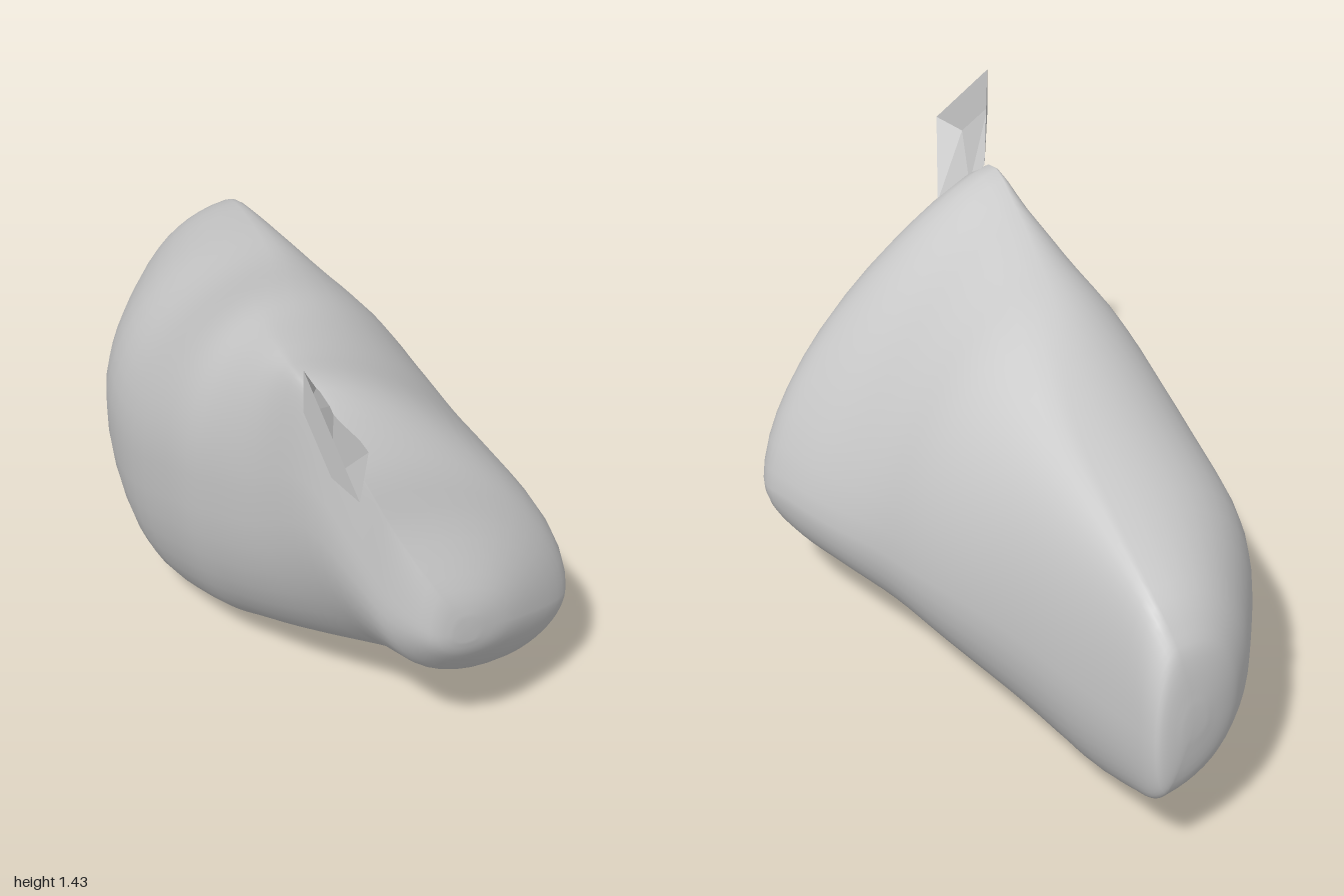
import * as THREE from 'three';

// Cross-sections of the sack from front to back:
// z, top x/y, +x side x/y, bottom x/y, -x side x/y, roundness of the upper +x quarter
const SECTIONS = [
  [0.90, -0.05, 0.59, 0.00, 0.55, -0.02, 0.51, -0.08, 0.55, 2],
  [0.88, -0.11, 0.68, 0.13, 0.50, 0.03, 0.44, -0.145, 0.57, 1.95],
  [0.80, -0.20, 0.865, 0.34, 0.42, 0.15, 0.305, -0.22, 0.64, 1.8],
  [0.73, -0.28, 1.07, 0.42, 0.40, 0.24, 0.24, -0.285, 0.78, 1.65],
  [0.60, -0.325, 1.23, 0.44, 0.42, 0.25, 0.20, -0.347, 0.92, 1.5],
  [0.40, -0.255, 1.20, 0.44, 0.43, 0.16, 0.16, -0.37, 0.82, 1.58],
  [0.20, -0.165, 1.155, 0.43, 0.45, 0.07, 0.11, -0.385, 0.74, 1.78],
  [0.00, -0.06, 1.11, 0.43, 0.46, 0.01, 0.05, -0.39, 0.67, 1.98],
  [-0.30, 0.14, 1.00, 0.42, 0.47, 0.02, 0.00, -0.35, 0.54, 2.1],
  [-0.60, 0.27, 0.92, 0.43, 0.47, 0.21, 0.07, -0.23, 0.51, 2.15],
  [-0.85, 0.36, 0.84, 0.445, 0.48, 0.36, 0.20, 0.00, 0.50, 2.15],
  [-0.95, 0.37, 0.75, 0.45, 0.48, 0.40, 0.265, 0.13, 0.50, 2.1],
  [-0.985, 0.365, 0.67, 0.435, 0.49, 0.39, 0.33, 0.21, 0.50, 2.1],
  [-1.00, 0.34, 0.55, 0.37, 0.50, 0.35, 0.46, 0.30, 0.50, 2],
];
const STEPS = 4; // rows between neighbouring sections
const QUARTER = 12; // points per quarter of a section

// Smoothly blended section at position t along the table
function sectionAt(t) {
  const last = SECTIONS.length - 1;
  const i = Math.min(Math.floor(t), last - 1);
  const f = t - i;
  const row = (n) => SECTIONS[Math.max(0, Math.min(last, n))];
  const [a, b, c, d] = [row(i - 1), row(i), row(i + 1), row(i + 2)];
  return b.map((v, k) => {
    const m0 = (c[k] - a[k]) / 2, m1 = (d[k] - v) / 2;
    const f2 = f * f, f3 = f2 * f;
    return v * (2 * f3 - 3 * f2 + 1) + m0 * (f3 - 2 * f2 + f)
      + c[k] * (3 * f2 - 2 * f3) + m1 * (f3 - f2);
  });
}

// Closed loop of four superellipse quarters: top, +x side, bottom, -x side
function sectionLoop([z, tx, ty, rx, ry, bx, by, lx, ly, k]) {
  const ends = [[tx, ty], [rx, ry], [bx, by], [lx, ly]];
  // the lower -x quarter flattens towards the front
  const lower = 2.35 - 0.35 * THREE.MathUtils.smoothstep(z, 0.2, 0.75);
  const roundness = [k, 2, lower, 2.15];
  const points = [];
  for (let q = 0; q < 4; q++) {
    const [x0, y0] = ends[q], [x1, y1] = ends[(q + 1) % 4];
    const power = 2 / roundness[q];
    for (let j = 0; j < QUARTER; j++) {
      const angle = (j / QUARTER) * Math.PI / 2;
      const s = Math.sin(angle) ** power, c = Math.cos(angle) ** power;
      // leaves horizontally at top and bottom, vertically at the sides
      if (q % 2 === 0) points.push([x0 + (x1 - x0) * s, y1 + (y0 - y1) * c, z]);
      else points.push([x1 + (x0 - x1) * c, y0 + (y1 - y0) * s, z]);
    }
  }
  return points;
}

function sackGeometry() {
  const rows = (SECTIONS.length - 1) * STEPS;
  const n = QUARTER * 4;
  const positions = [], index = [];
  for (let i = 0; i <= rows; i++) {
    for (const p of sectionLoop(sectionAt(i / STEPS))) positions.push(...p);
  }
  for (let i = 0; i < rows; i++) {
    for (let j = 0; j < n; j++) {
      const a = i * n + j, b = i * n + (j + 1) % n;
      index.push(a, b, a + n, b, b + n, a + n);
    }
  }
  // front and rear caps
  const front = positions.length / 3, rear = front + 1;
  positions.push(-0.04, 0.55, 0.9, 0.34, 0.505, -1);
  for (let j = 0; j < n; j++) {
    const next = (j + 1) % n;
    index.push(front, next, j, rear, rows * n + j, rows * n + next);
  }
  const geometry = new THREE.BufferGeometry();
  geometry.setAttribute('position', new THREE.Float32BufferAttribute(positions, 3));
  geometry.setIndex(index);
  geometry.computeVertexNormals();
  return geometry;
}

// Open flared tie: strips from the neck to a flat four-cornered flap
function tieGeometry() {
  const base = [[-0.31, 1.235, 0.6], [-0.27, 1.18, 0.62], [-0.24, 1.09, 0.73], [-0.28, 1.05, 0.73]];
  const flap = [[-0.455, 1.43, 0.76], [-0.455, 1.31, 0.76], [-0.455, 1.19, 0.88], [-0.455, 1.19, 1.0]];
  const positions = [];
  const quad = (a, b, c, d) => [a, b, c, a, c, d].forEach((p) => positions.push(...p));
  for (let i = 0; i < 3; i++) quad(base[i], flap[i], flap[i + 1], base[i + 1]);
  quad(...flap);
  const geometry = new THREE.BufferGeometry();
  geometry.setAttribute('position', new THREE.Float32BufferAttribute(positions, 3));
  geometry.computeVertexNormals();
  return geometry;
}

export function createModel() {
  const group = new THREE.Group();
  group.name = 'tiedSack';

  const sack = new THREE.Mesh(sackGeometry(), new THREE.MeshStandardMaterial({ color: 0xcccccc }));
  sack.name = 'sackBody';

  const tie = new THREE.Mesh(
    tieGeometry(),
    new THREE.MeshStandardMaterial({ color: 0xcccccc, flatShading: true, side: THREE.DoubleSide }),
  );
  tie.name = 'neckFlare';

  group.add(sack, tie);
  return group;
}
